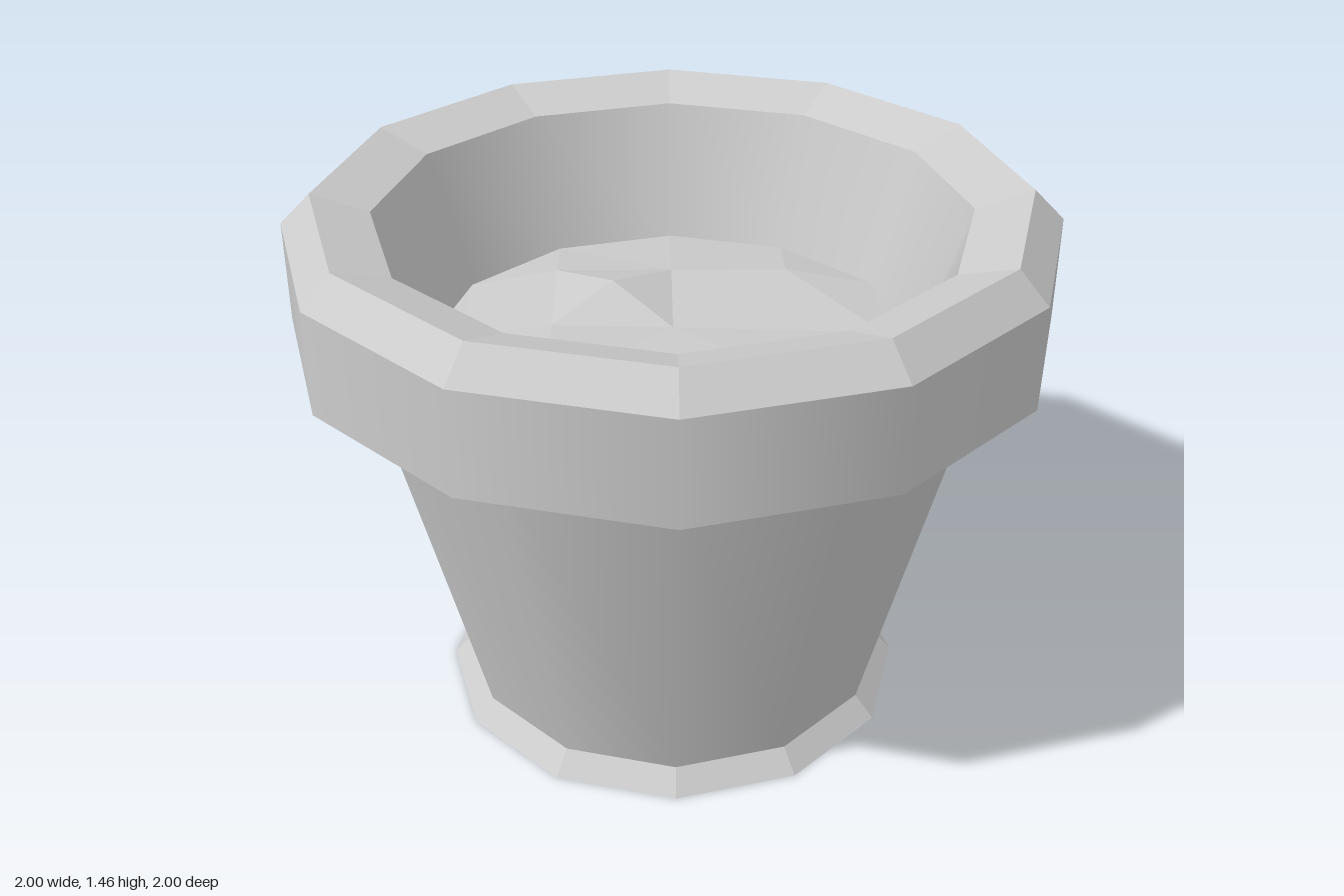
import * as THREE from 'three';

const SIDES = 12;
const smooth = new THREE.MeshStandardMaterial({ color: 0xcccccc });
const faceted = new THREE.MeshStandardMaterial({ color: 0xcccccc, flatShading: true });

// One turned band between two [radius, height] points; separate bands keep hard edges between them.
function band(name, from, to, material) {
  const profile = [from, to].map(([r, y]) => new THREE.Vector2(r, y));
  const mesh = new THREE.Mesh(new THREE.LatheGeometry(profile, SIDES), material);
  mesh.name = name;
  return mesh;
}

// Lumpy soil: a few raised points, stitched to the twelve-sided inner wall.
function soil(radius, level) {
  const points = {
    C: [0, 0.03, 0], E: [0.56, 0.01, 0], SE: [0.32, 0.05, 0.32], S: [0, 0, 0.55],
    SW: [-0.32, 0.05, 0.32], W: [-0.56, 0.01, 0], NW: [-0.32, 0.04, -0.33],
    N: [0, 0.04, -0.33], NE: [0.32, 0.04, -0.33], M: [-0.32, 0.04, 0], P: [-0.16, 0.09, -0.16],
  };
  for (let i = 0; i < SIDES; i++) {
    const a = (i / SIDES) * Math.PI * 2;
    points['o' + i] = [radius * Math.cos(a), 0, radius * Math.sin(a)];
  }
  const faces = [
    'C E NE', 'C NE N', 'C N P', 'P N NW', 'P NW M', 'P M C',
    'M NW W', 'M W SW', 'C M SW', 'C SW SE', 'SW S SE', 'C SE E',
  ];
  const ring = ['E', 'SE', 'S', 'SW', 'W', 'NW', 'N', 'NE'];
  for (let q = 0; q < 4; q++) {
    const [a, b, c] = [0, 1, 2].map((k) => ring[(q * 2 + k) % 8]);
    const [o0, o1, o2, o3] = [0, 1, 2, 3].map((k) => 'o' + ((q * 3 + k) % SIDES));
    faces.push(`${a} ${o1} ${o0}`, `${a} ${b} ${o1}`, `${b} ${o2} ${o1}`, `${b} ${c} ${o2}`, `${c} ${o3} ${o2}`);
  }
  const positions = faces.flatMap((f) => f.split(' ').flatMap((n) => points[n]));
  const geometry = new THREE.BufferGeometry();
  geometry.setAttribute('position', new THREE.Float32BufferAttribute(positions, 3));
  geometry.computeVertexNormals();
  const mesh = new THREE.Mesh(geometry, faceted);
  mesh.name = 'soil';
  mesh.position.y = level;
  return mesh;
}

export function createModel() {
  const model = new THREE.Group();
  model.name = 'flowerPot';
  model.add(
    // Base and flared foot
    band('base', [0, 0], [0.64, 0], faceted),
    band('foot', [0.64, 0], [0.585, 0.06], faceted),
    // Tapered body
    band('body', [0.585, 0.06], [0.845, 1.1], smooth),
    // Thick rim with a chamfer and an inward-sloping lip
    band('rimUnderside', [0.845, 1.1], [1, 1.1], faceted),
    band('rim', [1, 1.1], [1, 1.375], smooth),
    band('rimChamfer', [1, 1.375], [0.92, 1.455], faceted),
    band('lip', [0.92, 1.455], [0.77, 1.405], faceted),
    // Inside
    band('innerWall', [0.77, 1.405], [0.645, 1.04], smooth),
    soil(0.645, 1.04),
  );
  return model;
}
